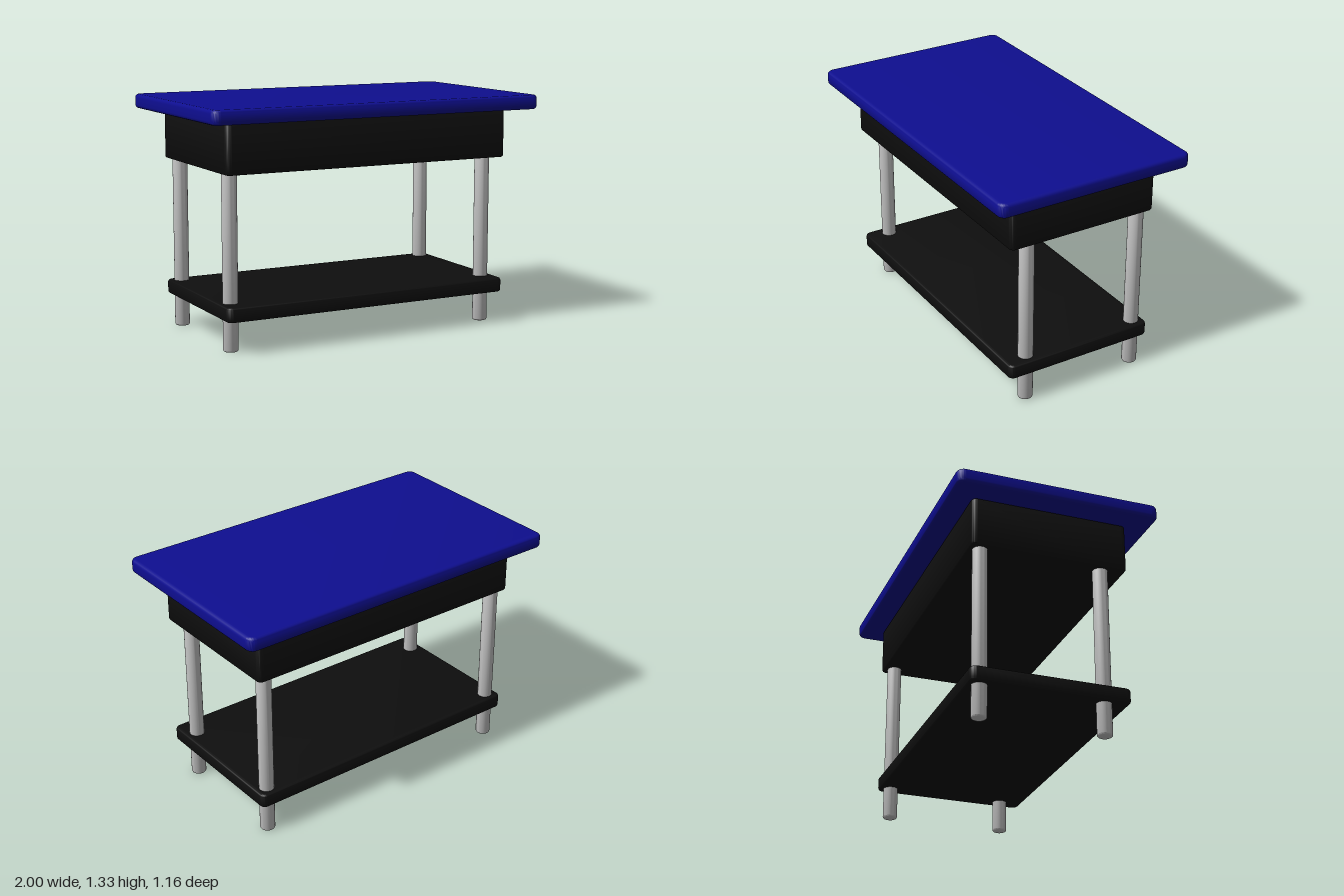
import * as THREE from 'three';
import { toCreasedNormals } from 'three/addons/utils/BufferGeometryUtils.js';

const blue = new THREE.MeshStandardMaterial({ color: 0x0e0e90 });
const black = new THREE.MeshStandardMaterial({ color: 0x0e0e0e });
const grey = new THREE.MeshStandardMaterial({ color: 0xcccccc });

// Horizontal slab with rounded plan corners and softened top and bottom edges
function slab(name, width, depth, y0, y1, z, corner, bevel, material) {
  const x = width / 2 - bevel, d = depth / 2 - bevel, r = corner - bevel;
  const shape = new THREE.Shape();
  shape.absarc(x - r, d - r, r, 0, Math.PI / 2);
  shape.absarc(-x + r, d - r, r, Math.PI / 2, Math.PI);
  shape.absarc(-x + r, -d + r, r, Math.PI, Math.PI * 1.5);
  shape.absarc(x - r, -d + r, r, Math.PI * 1.5, Math.PI * 2);
  const geometry = new THREE.ExtrudeGeometry(shape, {
    depth: y1 - y0 - 2 * bevel, bevelSize: bevel, bevelThickness: bevel,
    bevelSegments: 4, curveSegments: 6,
  });
  geometry.rotateX(-Math.PI / 2);
  const mesh = new THREE.Mesh(toCreasedNormals(geometry, 0.7), material);
  mesh.name = name;
  mesh.position.set(0, y0 + bevel, z);
  return mesh;
}

export function createModel() {
  const table = new THREE.Group();
  table.name = 'table';

  // Top, deep box beneath it and lower shelf
  table.add(
    slab('tableTop', 2, 1.16, 1.253, 1.334, 0, 0.045, 0.02, blue),
    slab('apronBox', 1.734, 0.893, 0.973, 1.248, -0.008, 0.03, 0.012, black),
    slab('lowerShelf', 1.734, 0.893, 0.185, 0.266, -0.008, 0.035, 0.015, black),
  );

  // Four round legs with a softened foot, passing through the shelf
  const profile = [[0, 0], [0.034, 0], [0.039, 0.003], [0.042, 0.009], [0.042, 1], [0, 1]]
    .map(([r, y]) => new THREE.Vector2(r, y));
  const legGeometry = toCreasedNormals(new THREE.LatheGeometry(profile, 32), 0.7);
  for (const [side, x] of [['Left', 0.797], ['Right', -0.797]]) {
    for (const [end, z] of [['front', 0.304], ['back', -0.388]]) {
      const leg = new THREE.Mesh(legGeometry, grey);
      leg.name = `${end}${side}Leg`;
      leg.position.set(x, 0, z);
      table.add(leg);
    }
  }
  return table;
}
